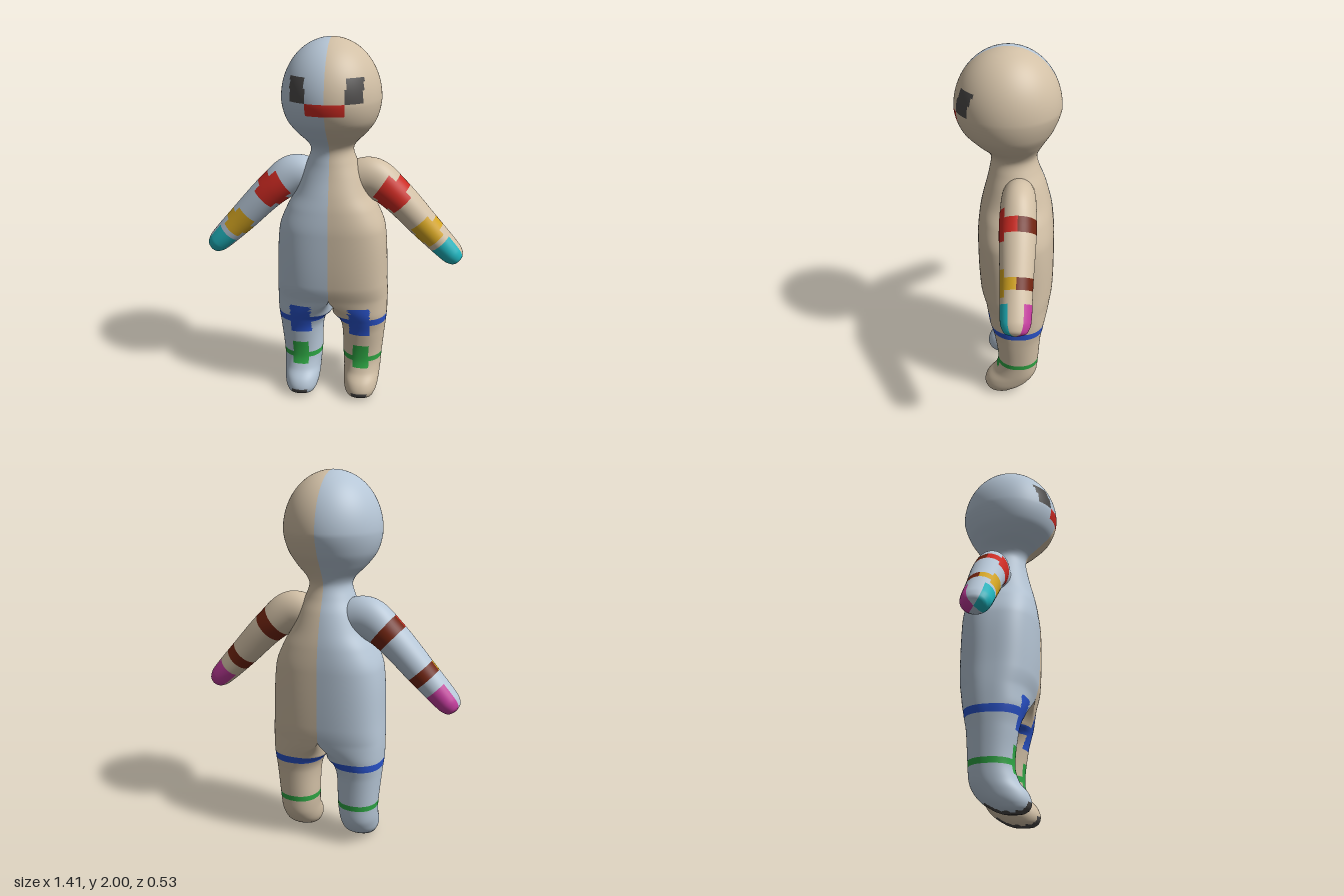
import * as THREE from 'three';

const palette = {
  paleBlue: 0xb6c6d6, tan: 0xd2c0a6, charcoal: 0x4c4a49, red: 0xcc2a22, yellow: 0xd4a522,
  turquoise: 0x20b4be, magenta: 0xc23c9c, brown: 0x702410, blue: 0x2a54cc, green: 0x2ea644,
};

// Body sections from sole to head: y, inner x, outer x, back z, front z
const bodyKeys = [
  [0, 0.17, 0.17, 0.05, 0.05],
  [0.01, 0.11, 0.23, -0.02, 0.1],
  [0.03, 0.088, 0.25, -0.065, 0.122],
  [0.06, 0.076, 0.263, -0.11, 0.127],
  [0.1, 0.07, 0.27, -0.145, 0.112],
  [0.15, 0.068, 0.275, -0.168, 0.072],
  [0.23, 0.062, 0.28, -0.176, 0.05],
  [0.4, 0.054, 0.296, -0.187, 0.068],
  [0.47, 0.03, 0.303, -0.2, 0.085],
  [0.5, 0, 0.305, -0.206, 0.095],
  [0.6, 0, 0.306, -0.235, 0.125],
  [0.7, 0, 0.302, -0.247, 0.15],
  [1, 0, 0.285, -0.245, 0.16],
  [1.12, 0, 0.24, -0.234, 0.15],
  [1.2, 0, 0.195, -0.218, 0.135],
  [1.3, 0, 0.16, -0.19, 0.11],
  [1.37, 0, 0.13, -0.162, 0.095],
  [1.43, 0, 0.112, -0.146, 0.088],
  [1.47, 0, 0.128, -0.155, 0.105],
  [1.53, 0, 0.185, -0.188, 0.17],
  [1.6, 0, 0.232, -0.23, 0.235],
  [1.7, 0, 0.255, -0.263, 0.267],
  [1.8, 0, 0.244, -0.259, 0.254],
];

// Arm sections: distance along arm, x, y, in-plane radius, depth radius
const armKeys = [
  [0, 0.06, 1.24, 0.09, 0.08],
  [0.14, 0.2, 1.27, 0.11, 0.088],
  [0.28, 0.32, 1.195, 0.093, 0.093],
  [0.554, 0.513, 1.0, 0.077, 0.081],
  [0.735, 0.64, 0.872, 0.062, 0.075],
  [0.775, 0.667, 0.845, 0.05, 0.062],
  [0.795, 0.68, 0.832, 0.033, 0.043],
  [0.805, 0.687, 0.825, 0, 0],
];

// Smooth (cubic Hermite) interpolation of a key table by its first column
function sample(keys, t) {
  const last = keys.length - 1;
  let i = 0;
  while (i < last - 1 && t > keys[i + 1][0]) i++;
  const slope = (k, c) => {
    const a = keys[Math.max(0, k - 1)], b = keys[Math.min(last, k + 1)];
    return (b[c] - a[c]) / (b[0] - a[0]);
  };
  const h = keys[i + 1][0] - keys[i][0], u = (t - keys[i][0]) / h, u2 = u * u, u3 = u2 * u;
  return keys[i].map((v, c) => (2 * u3 - 3 * u2 + 1) * v + (3 * u2 - 2 * u3) * keys[i + 1][c]
    + h * ((u3 - 2 * u2 + u) * slope(i, c) + (u3 - u2) * slope(i + 1, c)));
}

// Skin closed rings; paint(centre, row value, angle) names the colour of each cell
function loft(name, side, rows, segs, point, paint, materials) {
  const pos = [], buckets = new Map();
  for (const r of rows) for (let j = 0; j < segs; j++) {
    const p = point(r, (j / segs) * Math.PI * 2);
    pos.push(p[0] * side, p[1], p[2]);
  }
  for (let i = 0; i < rows.length - 1; i++) for (let j = 0; j < segs; j++) {
    const a = i * segs + j, b = i * segs + (j + 1) % segs, d = a + segs, e = b + segs;
    const quad = [a, b, d, e];
    // skip the hidden wall between the two body halves
    if (quad.every((k) => Math.abs(pos[3 * k]) < 1e-4)) continue;
    const c = [0, 1, 2].map((n) => quad.reduce((sum, k) => sum + pos[3 * k + n], 0) / 4);
    c[0] = Math.abs(c[0]);
    const colour = paint(c, (rows[i] + rows[i + 1]) / 2, ((j + 0.5) / segs) * Math.PI * 2)
      || (side > 0 ? 'tan' : 'paleBlue');
    if (!buckets.has(colour)) buckets.set(colour, []);
    buckets.get(colour).push(...(side > 0 ? [a, d, b, b, d, e] : [a, b, d, b, e, d]));
  }
  const geo = new THREE.BufferGeometry();
  geo.setAttribute('position', new THREE.Float32BufferAttribute(pos, 3));
  const index = [], used = [];
  for (const [colour, list] of buckets) {
    geo.addGroup(index.length, list.length, used.length);
    used.push(materials[colour]);
    for (const k of list) index.push(k);
  }
  geo.setIndex(index);
  geo.computeVertexNormals();
  // keep shading continuous across the centre line
  const nor = geo.attributes.normal, n = new THREE.Vector3();
  for (let k = 0; k < nor.count; k++) {
    if (Math.abs(pos[3 * k]) > 1e-4) continue;
    n.fromBufferAttribute(nor, k).setX(0).normalize();
    nor.setXYZ(k, n.x, n.y, n.z);
  }
  const mesh = new THREE.Mesh(geo, used);
  mesh.name = name;
  return mesh;
}

// Leg oval that opens into half of the torso above the crotch, with a domed head
function bodyPoint(y, t) {
  const { smoothstep, lerp } = THREE.MathUtils;
  const [, xi, xo, zb, zf] = sample(bodyKeys, Math.min(y, 1.7));
  const dome = y > 1.7 ? Math.sqrt(Math.max(0, 1 - ((y - 1.7) / 0.3) ** 2)) : 1;
  // squarer sections in the torso, round ones at neck and head
  const n = 2.2 + 0.5 * smoothstep(y, 0.4, 0.6) - 0.7 * smoothstep(y, 1, 1.4);
  const power = (v) => (Math.abs(v) < 1e-9 ? 0 : Math.sign(v) * Math.abs(v) ** (2 / n));
  const c = power(Math.cos(t)), s = power(Math.sin(t));
  const inner = y >= 0.5 ? 0 : Math.max(0, xi);
  const leg = (inner + xo) / 2 + ((xo - inner) / 2) * c;
  const x = lerp(leg, xo * Math.max(0, c), smoothstep(y, 0.49, 0.62));
  return [x * dome, y, ((zb + zf) / 2 + ((zf - zb) / 2) * s) * dome];
}

function bodyPaint([x, y, z]) {
  const within = (v, a, b) => v > a && v < b;
  const front = z > -0.03;
  if (y < 0.05 && within(x, 0.125, 0.215)) return 'charcoal'; // sole and toe
  if (within(y, 0.22, 0.25)) return 'green'; // shin band and patch
  if (front && within(y, 0.18, 0.32) && within(x, 0.125, 0.215)) return 'green';
  if (within(y, 0.46, 0.5)) return 'blue'; // thigh band and patch
  if (front && within(y, 0.39, 0.57) && within(x, 0.105, 0.22)) return 'blue';
  if (front && within(y, 1.71, 1.83) && within(x, 0.1, 0.18)) return 'charcoal'; // eye
  if (front && within(y, 1.65, 1.71) && x < 0.1) return 'red'; // mouth
  return null;
}

function armPoint(s, t) {
  const [, x, y, rn, rz] = sample(armKeys, s);
  const a = sample(armKeys, Math.max(0, s - 0.01)), b = sample(armKeys, Math.min(0.805, s + 0.01));
  const tx = b[1] - a[1], ty = b[2] - a[2], len = Math.hypot(tx, ty);
  const c = Math.cos(t) * rn;
  return [x - (ty / len) * c, y + (tx / len) * c, -0.058 - Math.sin(t) * rz];
}

function armPaint(c, s, t) {
  const front = -Math.sin(t);
  for (const [at, band, patch, colour] of [[0.28, 0.035, 0.075, 'red'], [0.554, 0.03, 0.068, 'yellow']]) {
    if (Math.abs(s - at) < band) return front > 0 ? colour : 'brown';
    if (Math.abs(s - at) < patch && front > 0.72) return colour;
  }
  if (s > 0.65 && front > 0.45) return 'turquoise'; // front of hand
  if (s > 0.65 && front < -0.45) return 'magenta'; // back of hand
  return null;
}

// Evenly spaced rows plus a few extra ones near the rounded ends
function makeRows(count, step, extra) {
  const even = Array.from({ length: count + 1 }, (_, i) => i * step);
  return [...even, ...extra].sort((a, b) => a - b);
}

export function createModel() {
  const materials = {};
  for (const [name, color] of Object.entries(palette)) {
    materials[name] = new THREE.MeshStandardMaterial({ color });
    materials[name].name = name;
  }
  const bodyRows = makeRows(200, 0.01, [0.002, 0.005, 1.995, 1.998]);
  const armRows = makeRows(161, 0.005, [0.801, 0.803, 0.8045]);

  const doll = new THREE.Group();
  doll.name = 'doll';
  for (const [label, side] of [['left', 1], ['right', -1]]) {
    doll.add(loft(label + 'BodyHalf', side, bodyRows, 128, bodyPoint, bodyPaint, materials));
    doll.add(loft(label + 'Arm', side, armRows, 48, armPoint, armPaint, materials));
  }
  return doll;
}
